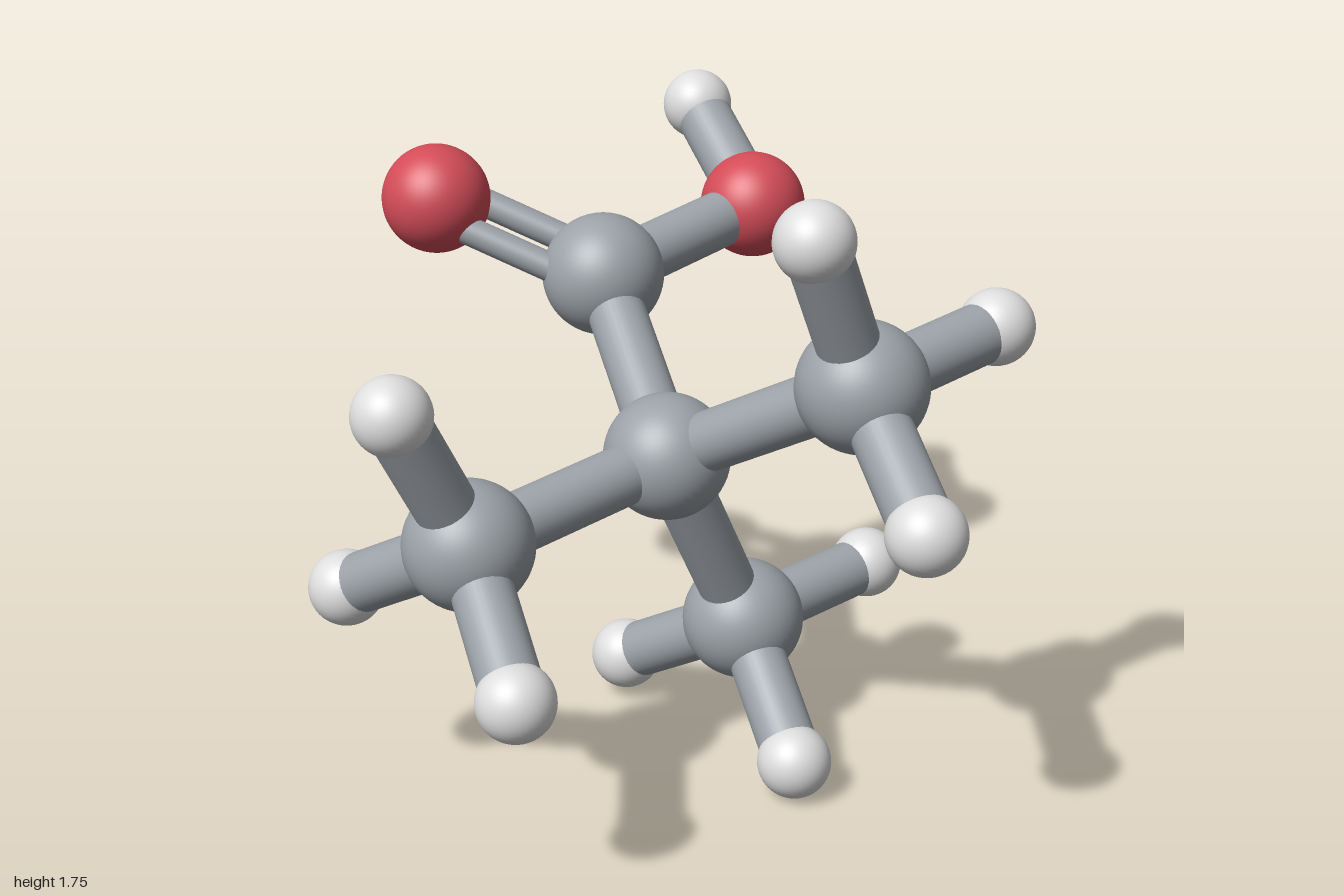
import * as THREE from 'three';

export function createModel() {
  const model = new THREE.Group();
  const material = (name, color) => {
    const m = new THREE.MeshStandardMaterial({ color });
    m.name = name;
    return m;
  };
  const grey = material('carbon grey', 0x9ca2a8);
  const red = material('oxygen red', 0xd34c58);
  const white = material('hydrogen white', 0xdedede);

  // Shared ball shapes for the three elements
  const kinds = {
    carbon: { geometry: new THREE.SphereGeometry(0.168, 48, 32), material: grey },
    oxygen: { geometry: new THREE.SphereGeometry(0.15, 48, 32), material: red },
    hydrogen: { geometry: new THREE.SphereGeometry(0.1, 40, 24), material: white },
  };
  const up = new THREE.Vector3(0, 1, 0);

  function atom(kind, name, x, y, z) {
    const mesh = new THREE.Mesh(kinds[kind].geometry, kinds[kind].material);
    mesh.name = name;
    mesh.position.set(x, y, z);
    model.add(mesh);
    return mesh.position;
  }

  // Round rod between two points
  function bond(name, a, b, radius = 0.08) {
    const dir = b.clone().sub(a);
    const rod = new THREE.Mesh(new THREE.CylinderGeometry(radius, radius, dir.length(), 32), grey);
    rod.name = name;
    rod.position.copy(a).add(b).multiplyScalar(0.5);
    rod.quaternion.setFromUnitVectors(up, dir.normalize());
    model.add(rod);
  }

  const centre = atom('carbon', 'centralCarbon', 0.04, 0.925, 0);

  // Three arms, each a carbon with three hydrogens
  const arms = [
    { name: 'sideArm', at: [-0.59, 0.85, 0.035],
      tips: [[-0.803, 1.252, 0.062], [-0.745, 0.633, -0.33], [-0.694, 0.607, 0.408]] },
    { name: 'lowerArm', at: [0.328, 0.354, -0.036],
      tips: [[0.785, 0.394, -0.05], [0.224, 0.103, 0.334], [0.187, 0.128, -0.404]] },
    { name: 'frontArm', at: [0.25, 1.238, 0.526],
      tips: [[0.06, 1.651, 0.558], [0.702, 1.296, 0.512], [0.147, 1.004, 0.896]] },
  ];
  for (const { name, at, tips } of arms) {
    const carbon = atom('carbon', name + 'Carbon', ...at);
    bond(name + 'Bond', centre, carbon);
    tips.forEach((tip, i) => {
      const hydrogen = atom('hydrogen', `${name}Hydrogen${i + 1}`, ...tip);
      bond(`${name}HydrogenBond${i + 1}`, carbon, hydrogen);
    });
  }

  // Acid group: carbon, two oxygens and a hydrogen
  const acid = atom('carbon', 'acidCarbon', 0.187, 1.26, -0.508);
  const doubleOxygen = atom('oxygen', 'doubleBondOxygen', -0.14, 1.45, -0.843);
  const singleOxygen = atom('oxygen', 'singleBondOxygen', 0.744, 1.349, -0.56);
  const acidHydrogen = atom('hydrogen', 'acidHydrogen', 0.791, 1.567, -0.895);
  bond('acidBond', centre, acid);
  bond('singleOxygenBond', acid, singleOxygen);
  bond('acidHydrogenBond', singleOxygen, acidHydrogen);

  // Double bond: two thin rods side by side in the plane of the acid group
  const axis = doubleOxygen.clone().sub(acid);
  const normal = axis.clone().cross(singleOxygen.clone().sub(acid));
  const offset = normal.cross(axis).normalize().multiplyScalar(0.06);
  for (const side of [-1, 1]) {
    const shift = offset.clone().multiplyScalar(side);
    bond('doubleBondRod', acid.clone().add(shift), doubleOxygen.clone().add(shift), 0.04);
  }

  return model;
}
